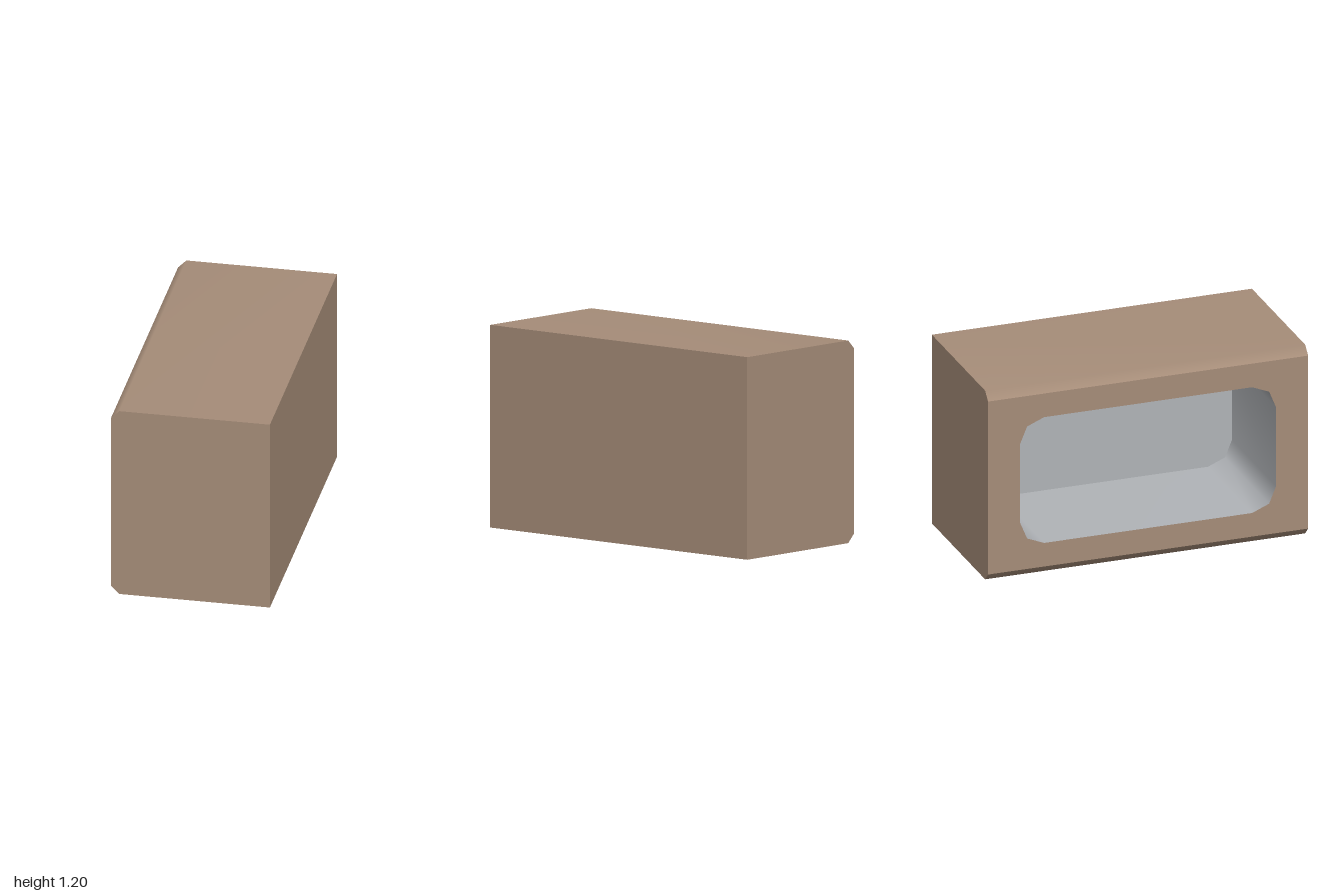
import * as THREE from 'three';

// Sweeps a counter-clockwise 2D line along z; normals are smooth and face outward.
function sweep(points, z0, z1, closed = false) {
  const n = points.length, positions = [], index = [];
  for (const [x, y] of points) positions.push(x, y, z0, x, y, z1);
  for (let i = 0; i < (closed ? n : n - 1); i++) {
    const a = 2 * i, b = 2 * ((i + 1) % n);
    index.push(a, b, b + 1, a, b + 1, a + 1);
  }
  const geometry = new THREE.BufferGeometry();
  geometry.setAttribute('position', new THREE.Float32BufferAttribute(positions, 3));
  geometry.setIndex(index);
  geometry.computeVertexNormals();
  return geometry;
}

const toVectors = (points) => points.map(([x, y]) => new THREE.Vector2(x, y));

export function createModel() {
  const model = new THREE.Group();
  model.name = 'hollowBlock';

  const brown = new THREE.MeshStandardMaterial({ color: 0xa58c78 });
  brown.name = 'brown shell';
  const grey = new THREE.MeshStandardMaterial({ color: 0xb0b3b7 });
  grey.name = 'grey lining';

  const add = (name, geometry, material) => {
    const mesh = new THREE.Mesh(geometry, material);
    mesh.name = name;
    model.add(mesh);
    return mesh;
  };

  // Shell profile: a rectangle with its two right-hand corners chamfered
  const W = 0.475, H = 1.2, C = 0.05;
  const profile = [[W, H], [-W + C, H], [-W, H - C], [-W, C], [-W + C, 0], [W, 0]];
  add('top', sweep(profile.slice(0, 3), -1, 1), brown);
  add('bottom', sweep(profile.slice(3), -1, 1), brown);
  add('closedSide', sweep([profile[5], profile[0]], -1, 1), brown);

  // Flat ends
  const end = new THREE.ShapeGeometry(new THREE.Shape(toVectors(profile)));
  add('frontEnd', end.clone().translate(0, 0, 1), brown);
  const back = new THREE.ShapeGeometry(
    new THREE.Shape(toVectors(profile.map(([x, y]) => [-x, y]))));
  add('backEnd', back.rotateY(Math.PI).translate(0, 0, -1), brown);

  // Rounded opening outline, in (z, y)
  const R = 0.15, opening = [];
  [[1, 1], [-1, 1], [-1, -1], [1, -1]].forEach(([sz, sy], k) => {
    for (let i = 0; i < 3; i++) {
      const a = (k + i / 2) * Math.PI / 2;
      opening.push([sz * 0.65 + R * Math.cos(a), 0.6 + sy * 0.25 + R * Math.sin(a)]);
    }
  });

  // Open side: a flat face around the opening
  const face = new THREE.Shape(toVectors([[-1, C], [1, C], [1, H - C], [-1, H - C]]));
  face.holes.push(new THREE.Path(toVectors(opening)));
  const turn = -Math.PI / 2;
  add('openSide', new THREE.ShapeGeometry(face).rotateY(turn).translate(-W, 0, 0), brown);

  // Cavity walls and inner back panel
  const inner = 0.27;
  add('cavityWalls', sweep([...opening].reverse(), -inner, W, true).rotateY(turn), grey);
  add('cavityBack', new THREE.ShapeGeometry(new THREE.Shape(toVectors(opening)))
    .rotateY(turn).translate(inner, 0, 0), grey);

  return model;
}
